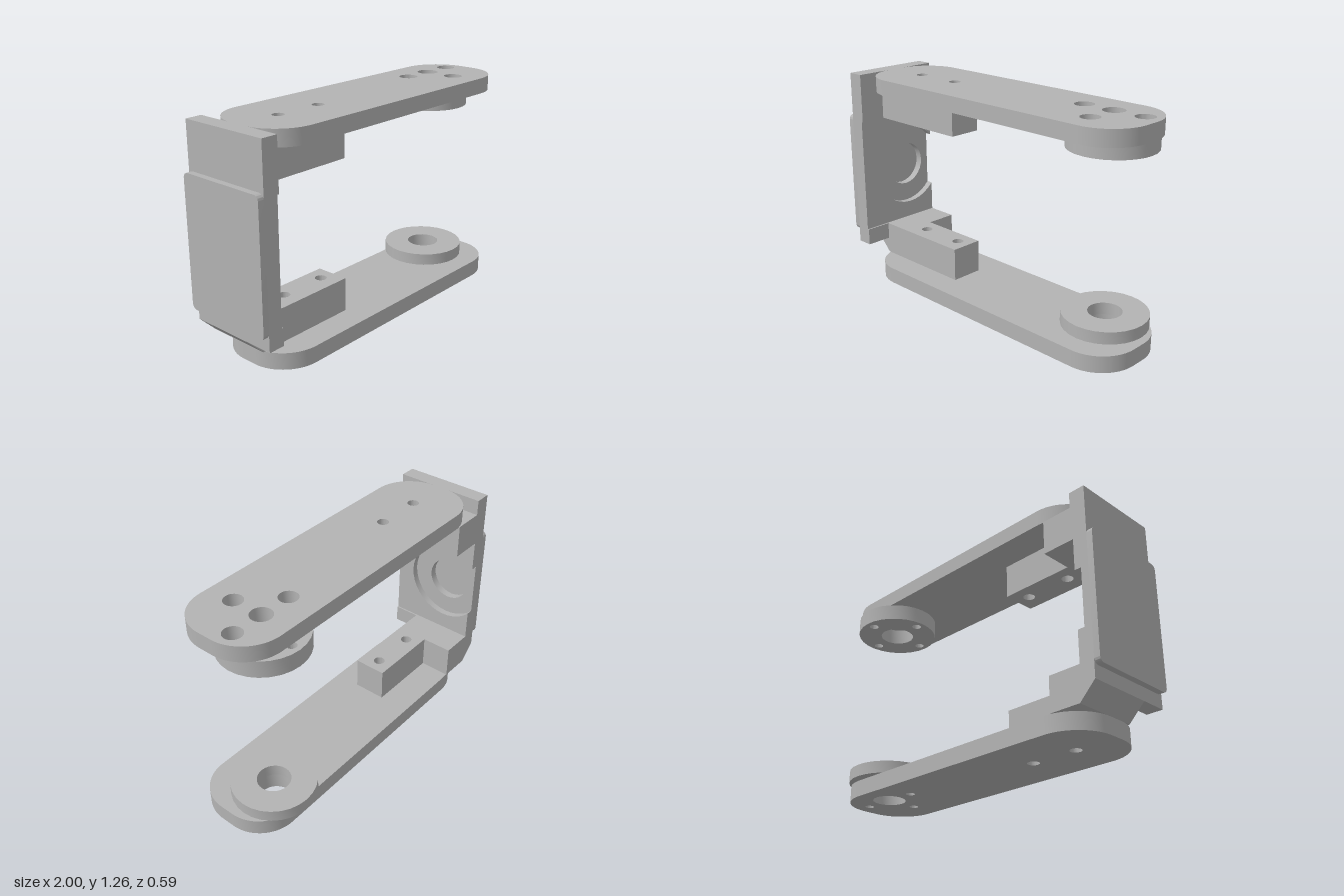
import * as THREE from 'three';
import { toCreasedNormals } from 'three/addons/utils/BufferGeometryUtils.js';

const grey = new THREE.MeshStandardMaterial({ color: 0xb3b3b3 });
grey.name = 'plain grey';

// Plan extents shared by the arms and the wall
const BACK = -0.24, FRONT = 0.295;
const HUB = { x: 0.715, z: -0.057 };
const SCREWS = [[-0.615, 0.035, 0.033], [-0.335, 0.035, 0.033]];

export function createModel() {
  const model = new THREE.Group();
  model.name = 'forkBracket';

  const add = (name, geometry) => {
    const mesh = new THREE.Mesh(geometry, grey);
    mesh.name = name;
    model.add(mesh);
  };

  const box = (name, x0, x1, y0, y1, z0, z1) => {
    const g = new THREE.BoxGeometry(x1 - x0, y1 - y0, z1 - z0);
    g.translate((x0 + x1) / 2, (y0 + y1) / 2, (z0 + z1) / 2);
    add(name, g);
  };

  const extrude = (shape, depth) => new THREE.ExtrudeGeometry(shape, { depth, bevelEnabled: false, curveSegments: 14 });

  // Rounded rectangle in shape coordinates
  const roundRect = (x0, x1, y0, y1, r) => {
    const s = new THREE.Shape();
    s.absarc(x1 - r, y0 + r, r, -Math.PI / 2, 0, false);
    s.absarc(x1 - r, y1 - r, r, 0, Math.PI / 2, false);
    s.absarc(x0 + r, y1 - r, r, Math.PI / 2, Math.PI, false);
    s.absarc(x0 + r, y0 + r, r, Math.PI, Math.PI * 1.5, false);
    s.closePath();
    return s;
  };

  const rect = (x0, x1, y0, y1) => new THREE.Shape([
    new THREE.Vector2(x0, y0), new THREE.Vector2(x1, y0),
    new THREE.Vector2(x1, y1), new THREE.Vector2(x0, y1)]);

  const punch = (shape, u, v, r) => {
    const hole = new THREE.Path();
    hole.absarc(u, v, r, 0, Math.PI * 2, true);
    shape.holes.push(hole);
  };

  // Horizontal slab: shape is (x, -z); holes are [x, z, radius]
  const slab = (name, shape, y0, y1, holes = []) => {
    holes.forEach(([x, z, r]) => punch(shape, x, -z, r));
    const g = extrude(shape, y1 - y0);
    g.rotateX(-Math.PI / 2);
    g.translate(0, y0, 0);
    add(name, toCreasedNormals(g, 0.5));
  };

  // Upright slab: shape is (-z, y), extruded along x
  const upright = (name, shape, x0, x1) => {
    const g = extrude(shape, x1 - x0);
    g.rotateY(Math.PI / 2);
    g.translate(x0, 0, 0);
    add(name, toCreasedNormals(g, 0.5));
  };

  // Holes around the hub, the fourth falls outside the arm
  const ring = (r, count) => [[-0.187, 0], [0.187, 0], [0, 0.187], [0, -0.187]]
    .slice(0, count).map(([dx, dz]) => [HUB.x + dx, HUB.z + dz, r]);
  const disc = () => {
    const s = new THREE.Shape();
    s.absarc(HUB.x, -HUB.z, 0.24, 0, Math.PI * 2, false);
    return s;
  };
  const arm = () => roundRect(-0.87, 1, -FRONT, -BACK, 0.225);

  // Arms and hub discs
  slab('upperArm', arm(), 1.175, 1.265, [[HUB.x, HUB.z, 0.06], ...ring(0.053, 3), ...SCREWS]);
  slab('lowerArm', arm(), 0, 0.095, [[HUB.x, HUB.z, 0.095], ...ring(0.026, 3), ...SCREWS]);
  slab('upperHubDisc', disc(), 1.08, 1.175, [[HUB.x, HUB.z, 0.1], ...ring(0.027, 4)]);
  slab('lowerHubDisc', disc(), 0.095, 0.165, [[HUB.x, HUB.z, 0.095]]);

  // Mounting blocks with blind screw holes, and the wide feet beside the wall
  const block = () => rect(-0.87, -0.25, -0.14, 0.055);
  slab('upperBlockFace', block(), 0.98, 1.06, SCREWS);
  slab('upperBlock', block(), 1.06, 1.175);
  slab('lowerBlock', block(), 0.095, 0.21);
  slab('lowerBlockFace', block(), 0.21, 0.29, SCREWS);
  box('upperFoot', -0.87, -0.69, 0.98, 1.175, BACK, -0.055);
  box('lowerFoot', -0.87, -0.69, 0.095, 0.29, BACK, -0.055);

  // Wall ends
  box('upperWall', -0.965, -0.87, 0.98, 1.265, BACK, FRONT);
  box('lowerWall', -0.965, -0.87, 0.19, 0.29, BACK, FRONT);

  // Sloped gusset below the wall
  const wedge = new THREE.Shape([
    new THREE.Vector2(-0.965, 0.19), new THREE.Vector2(-0.87, 0.095), new THREE.Vector2(-0.87, 0.19)]);
  const gusset = extrude(wedge, 0.14 - BACK);
  gusset.translate(0, 0, BACK);
  add('gusset', gusset);

  // Middle of the wall: a round recess open at the back edge, then a deeper one
  const cy = 0.634, r = 0.246, a = Math.acos((-BACK + HUB.z) / r);
  const face = new THREE.Shape();
  face.moveTo(-FRONT, 0.29);
  face.lineTo(-BACK, 0.29);
  face.absarc(-HUB.z, cy, r, -a, a, true);
  face.lineTo(-BACK, 0.98);
  face.lineTo(-FRONT, 0.98);
  face.closePath();
  upright('wallFace', face, -0.92, -0.88);

  const core = rect(-FRONT, -BACK, 0.29, 0.98);
  punch(core, -HUB.z, cy, 0.133);
  upright('wallCore', core, -0.965, -0.92);

  // Outer cover with rounded corners
  upright('backCover', roundRect(-FRONT, -BACK, 0.265, 1.005, 0.03), -1, -0.965);

  return model;
}
